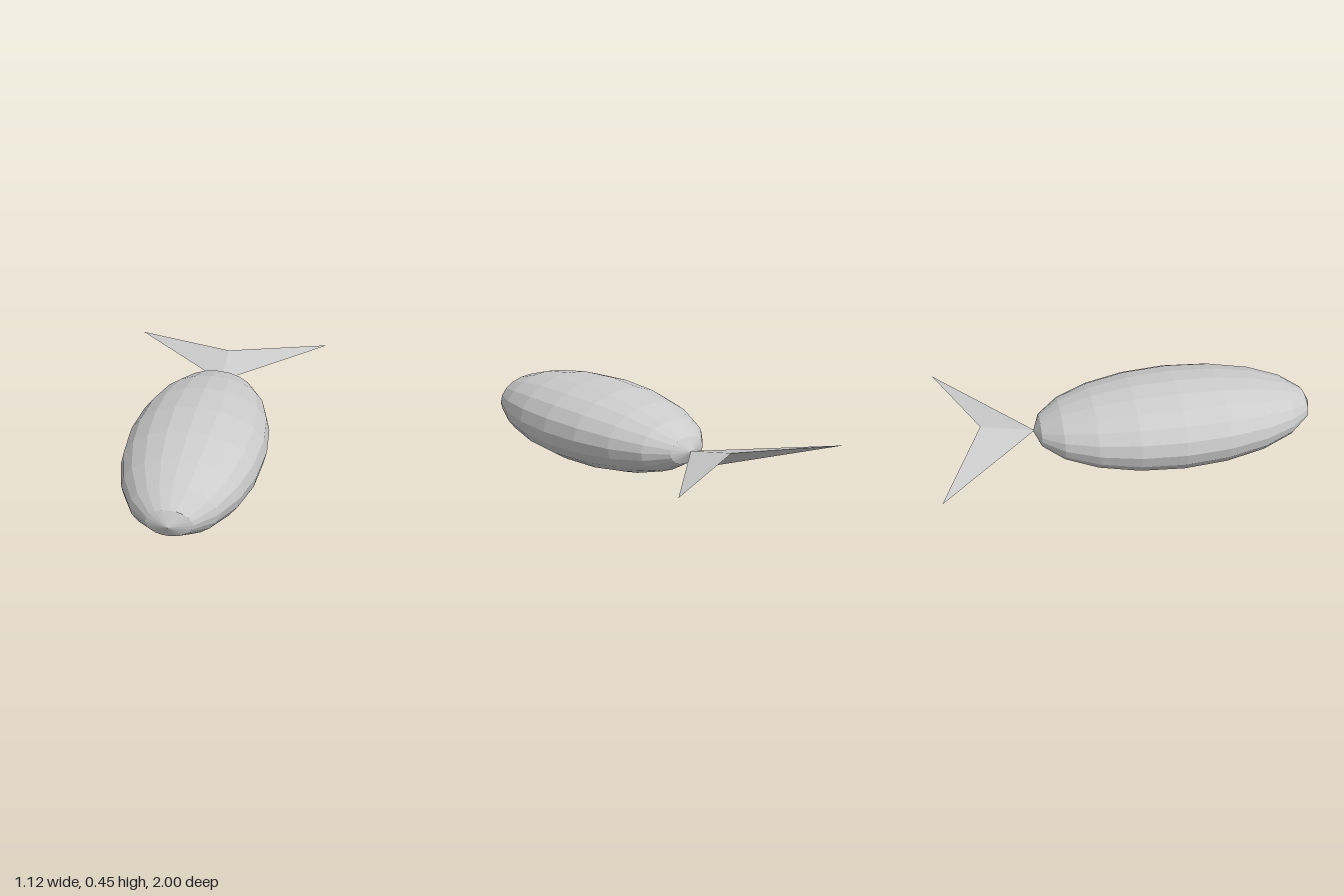
import * as THREE from 'three';

export function createModel() {
  const model = new THREE.Group();
  const material = new THREE.MeshStandardMaterial({ color: 0xcccccc, flatShading: true });

  // Faceted ellipsoid body with its poles at the nose and the tail root
  const bodyGeometry = new THREE.SphereGeometry(1, 20, 10);
  bodyGeometry.rotateX(Math.PI / 2);
  bodyGeometry.scale(0.36, 0.226, 0.751);
  const body = new THREE.Mesh(bodyGeometry, material);
  body.name = 'body';
  body.position.set(0, 0.228, 0.248);
  model.add(body);

  // Forked tail fin: two mirrored flukes that share a ridge, a notch and a keel
  const root = [0, 0.23, -0.495];
  const notch = [0, 0.29, -0.775];
  const keel = [0, 0.195, -0.655];
  const positions = [];
  for (const side of [1, -1]) {
    const tip = [0.56 * side, 0.265, -1];
    const faces = [[root, tip, notch], [root, keel, tip], [notch, tip, keel]];
    for (const [a, b, c] of faces) {
      positions.push(...(side > 0 ? [a, b, c] : [a, c, b]).flat());
    }
  }
  const tailGeometry = new THREE.BufferGeometry();
  tailGeometry.setAttribute('position', new THREE.Float32BufferAttribute(positions, 3));
  tailGeometry.computeVertexNormals();
  const tail = new THREE.Mesh(tailGeometry, material);
  tail.name = 'tailFin';
  model.add(tail);

  return model;
}
